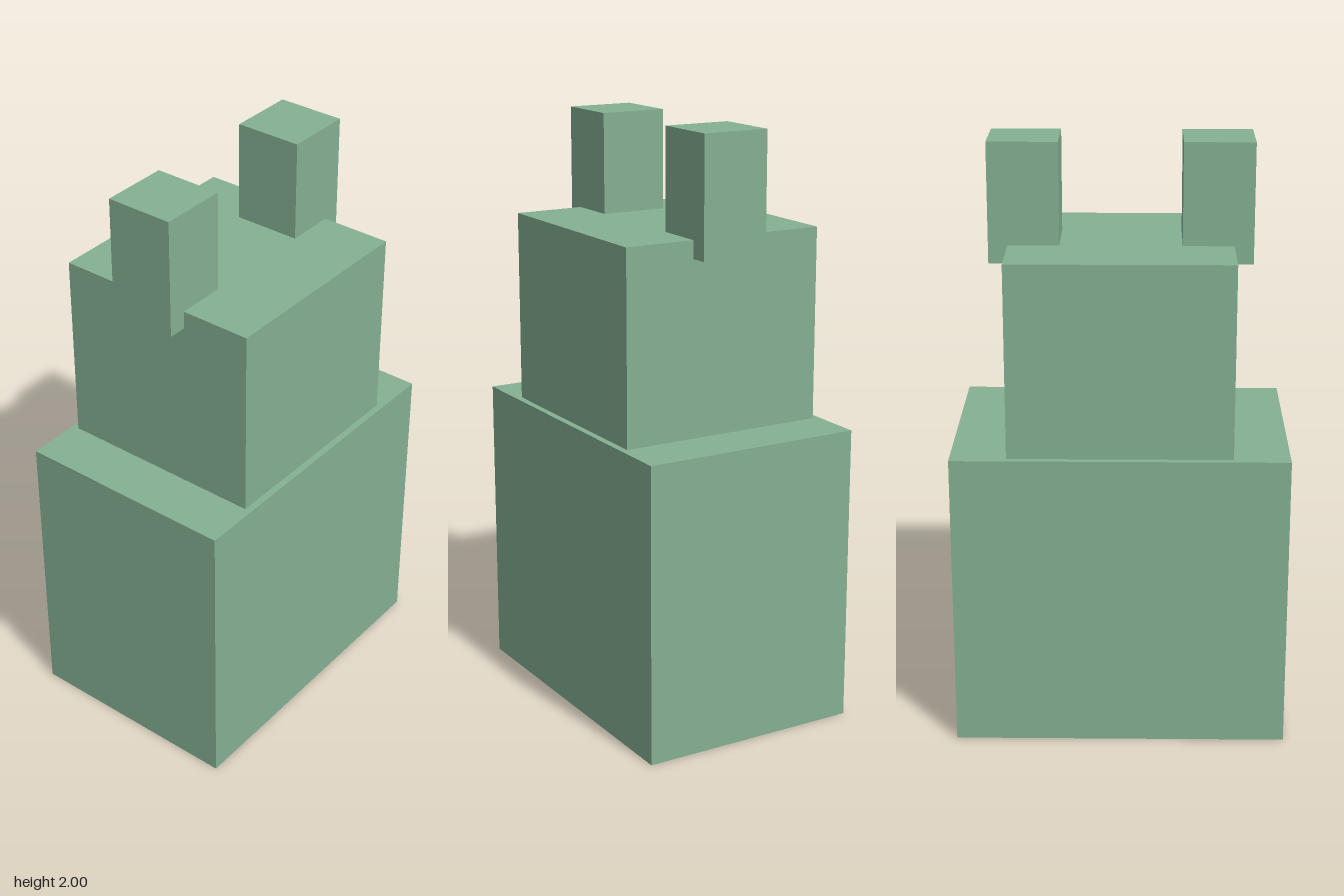
import * as THREE from 'three';

const material = new THREE.MeshStandardMaterial({ color: 0x84b092 });

// Box from its centre x, bottom y and size
function block(name, x, bottom, width, height, depth) {
  const mesh = new THREE.Mesh(new THREE.BoxGeometry(width, height, depth), material);
  mesh.name = name;
  mesh.position.set(x, bottom + height / 2, 0);
  return mesh;
}

export function createModel() {
  const model = new THREE.Group();
  model.name = 'blockFigure';

  // Stacked body and head
  model.add(block('body', 0, 0, 1.112, 1.01, 0.764));
  model.add(block('head', 0, 1.01, 0.74, 0.65, 0.718));

  // Ears, sunk into the top side edges of the head
  for (const [name, side] of [['leftEar', 1], ['rightEar', -1]]) {
    model.add(block(name, side * 0.317, 1.6, 0.232, 0.4, 0.232));
  }
  return model;
}
